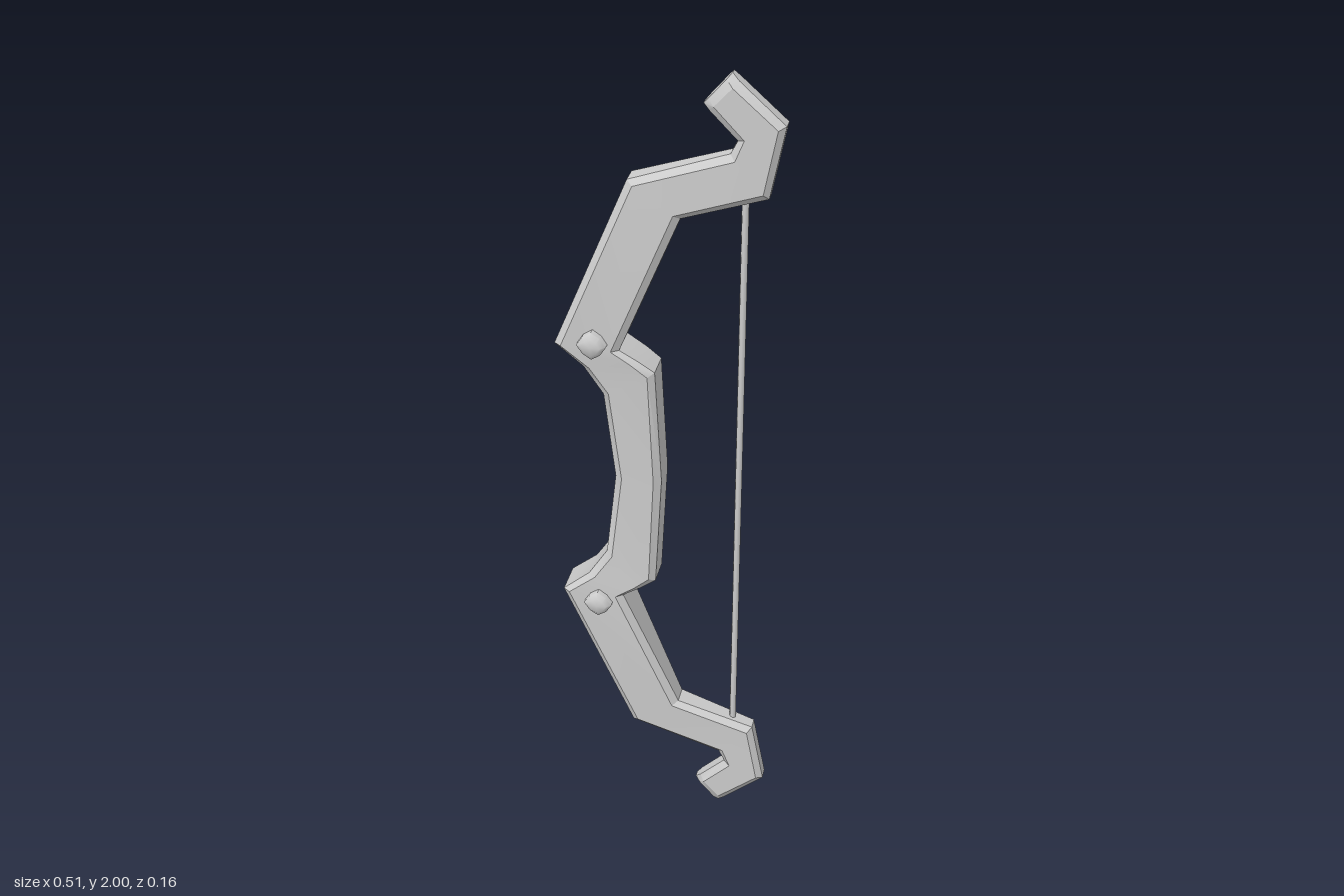
import * as THREE from 'three';
import { toCreasedNormals } from 'three/addons/utils/BufferGeometryUtils.js';

const BEVEL = 0.013;

// Upper half of the bow: outer x, y, inner x, y, half thickness
const upper = [
  [-0.12, 1.0, -0.01, 1.0, 0.047],
  [-0.145, 1.22, -0.025, 1.29, 0.048],
  [-0.19, 1.29, -0.06, 1.315, 0.052],
  [-0.255, 1.345, -0.105, 1.342, 0.055],
  [-0.087, 1.75, 0.03, 1.67, 0.036],
  [0.135, 1.825, 0.22, 1.73, 0.028],
  [0.15, 1.855, 0.252, 1.895, 0.028],
  [0.088, 1.917, 0.15, 1.985, 0.027],
  [0.075, 1.93, 0.135, 2.0, 0.015],
];

// Eight-sided section with bevelled edges
function section([ox, oy, ix, iy, h]) {
  const len = Math.hypot(ix - ox, iy - oy);
  const at = (d, z) => [ox + (ix - ox) * d / len, oy + (iy - oy) * d / len, z];
  const rim = Math.max(h - BEVEL, 0.008), inset = 0.017;
  const half = [at(len, rim), at(len - inset, h), at(inset, h), at(0, rim)];
  const back = half.map(([x, y, z]) => [x, y, -z]).reverse();
  return [...half, ...back];
}

function loft(rings) {
  const n = rings[0].length, index = [];
  for (let s = 0; s < rings.length - 1; s++) {
    for (let k = 0; k < n; k++) {
      const a = s * n + k, b = s * n + (k + 1) % n;
      index.push(a, a + n, b + n, a, b + n, b);
    }
  }
  const top = (rings.length - 1) * n;
  for (let k = 1; k < n - 1; k++) {
    index.push(0, k, k + 1, top, top + k + 1, top + k);
  }
  const g = new THREE.BufferGeometry();
  g.setAttribute('position', new THREE.Float32BufferAttribute(rings.flat(2), 3));
  g.setIndex(index);
  return toCreasedNormals(g, Math.PI / 7);
}

// Domed pin with a rounded diamond outline, running through the bow
function pinGeometry() {
  const profile = [[0, -0.08], [0.022, -0.078], [0.034, -0.069], [0.034, 0.069], [0.022, 0.078], [0, 0.08]];
  const g = new THREE.LatheGeometry(profile.map(([r, y]) => new THREE.Vector2(r, y)), 8);
  const p = g.attributes.position;
  for (let i = 0; i < p.count; i++) {
    const x = p.getX(i), z = p.getZ(i);
    const diagonal = Math.abs(x) > 0.005 && Math.abs(z) > 0.005;
    if (diagonal) p.setXYZ(i, x * 0.86, p.getY(i), z * 0.86);
  }
  g.rotateX(Math.PI / 2);
  return toCreasedNormals(g, Math.PI / 3.5);
}

export function createModel() {
  const group = new THREE.Group();
  const material = new THREE.MeshStandardMaterial({ color: 0xcccccc });
  const add = (name, geometry, x = 0, y = 0) => {
    const mesh = new THREE.Mesh(geometry, material);
    mesh.name = name;
    mesh.position.set(x, y, 0);
    group.add(mesh);
  };

  // Grip and both limbs as one loft, mirrored about the middle
  const lower = upper.slice(1).reverse().map(([ox, oy, ix, iy, h]) => [ox, 2 - oy, ix, 2 - iy, h]);
  add('bowBody', loft([...lower, ...upper].map(section)));

  // Pins where the limbs meet the grip
  const pin = pinGeometry();
  add('upperPin', pin, -0.163, 1.36);
  add('lowerPin', pin, -0.163, 0.64);

  // String between the limb ends
  add('bowString', new THREE.CylinderGeometry(0.008, 0.008, 1.48, 8), 0.167, 1);
  return group;
}
